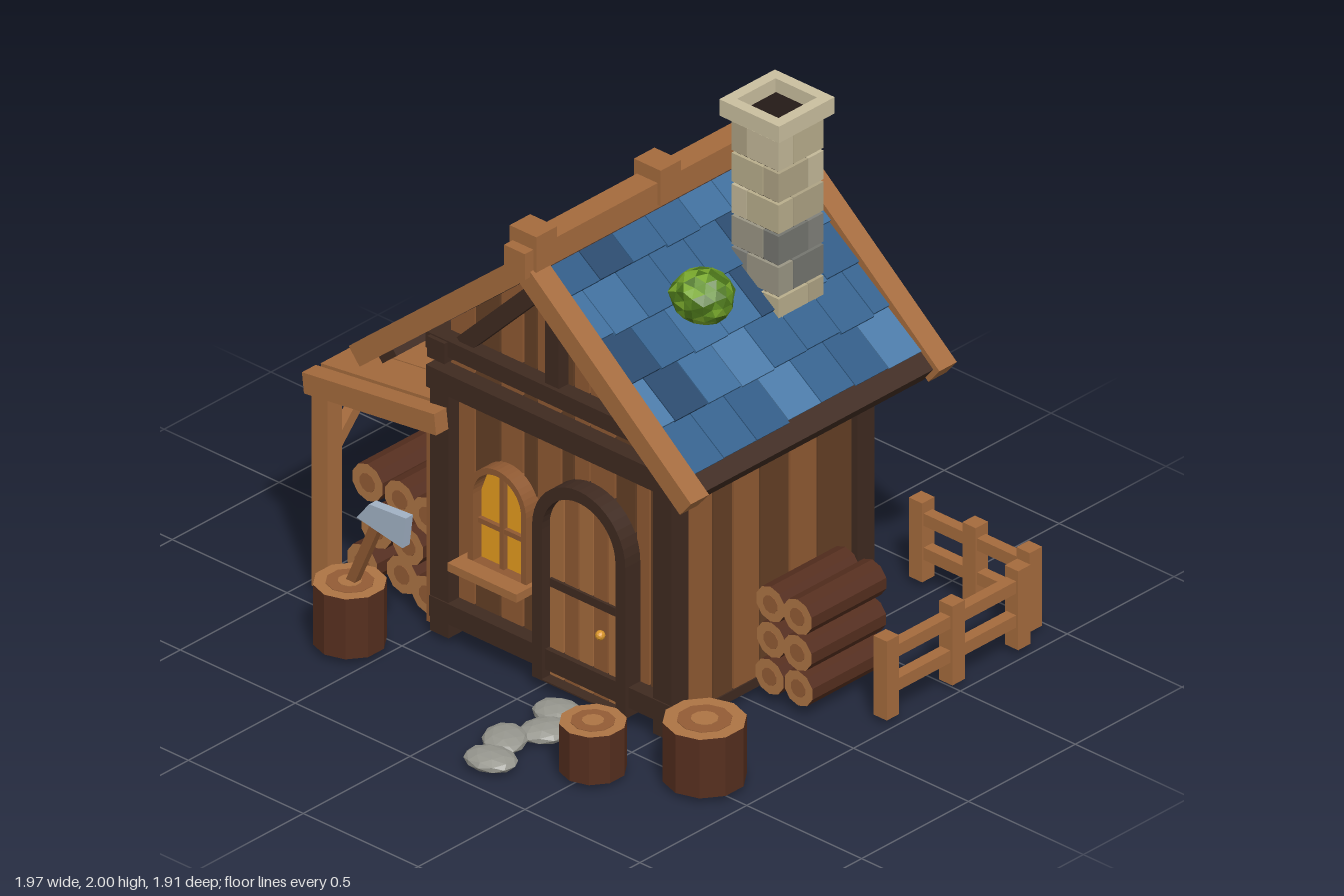
import * as THREE from 'three';

const mat = (color) => new THREE.MeshStandardMaterial({ color, flatShading: true, roughness: 0.9 });
const DARK = mat(0x3f2a20), MID = mat(0x8f5932), DEEP = mat(0x633f25), LIGHT = mat(0xa56b3d);
const BARK = mat(0x552e1e), CUT = mat(0xad7444), RING = mat(0x935c35), BLACK = mat(0x241b17);
const GLASS = mat(0xe59c1e), STEEL = mat(0xa3b3c6), BRASS = mat(0xd9952a);
const BLUES = [0x2f5a85, 0x3d6d9b, 0x27486c, 0x4a7aa8, 0x33618d].map(mat);
const STONES = [0xb9ae8c, 0xaea384, 0xc4b999].map(mat), GREYS = [0x80807a, 0x9a9684, 0x74756f].map(mat);
const CAPSTONE = mat(0xcabf9f), STEP = mat(0x96968e);
const GREENS = [0x5f8f22, 0x79a82c, 0x4a7419].map(mat);

// Ridge line, roof angle and the underside of the roof
const RX = 0.045, RY = 1.657, ANGLE = Math.atan(0.83);
const gableTop = (x) => 1.555 - Math.abs(x - RX) * 0.83;

let seed = 7;
const rnd = () => (seed = (seed * 16807) % 2147483647) / 2147483647;

function add(parent, name, geo, material, x = 0, y = 0, z = 0) {
  const m = new THREE.Mesh(geo, material);
  m.name = name;
  m.position.set(x, y, z);
  parent.add(m);
  return m;
}
function group(parent, name) {
  const g = new THREE.Group();
  g.name = name;
  parent.add(g);
  return g;
}
// Box given by its limits
const box = (p, name, m, x0, x1, y0, y1, z0, z1) =>
  add(p, name, new THREE.BoxGeometry(x1 - x0, y1 - y0, z1 - z0), m, (x0 + x1) / 2, (y0 + y1) / 2, (z0 + z1) / 2);
// Slanted timber between two points in the xy plane
function beam(p, name, m, x1, y1, x2, y2, w, z, d) {
  const b = add(p, name, new THREE.BoxGeometry(Math.hypot(x2 - x1, y2 - y1), w, d), m, (x1 + x2) / 2, (y1 + y2) / 2, z);
  b.rotation.z = Math.atan2(y2 - y1, x2 - x1);
  return b;
}
function extrude(p, name, m, shape, z0, z1) {
  return add(p, name, new THREE.ExtrudeGeometry(shape, { depth: z1 - z0, bevelEnabled: false, curveSegments: 10 }), m, 0, 0, z0);
}
// Upright board whose top follows a curve
function board(p, name, m, x0, x1, y0, top, z0, z1) {
  const pts = [new THREE.Vector2(x0, y0), new THREE.Vector2(x1, y0)];
  for (let i = 8; i >= 0; i--) {
    const x = x0 + ((x1 - x0) * i) / 8;
    pts.push(new THREE.Vector2(x, top(x)));
  }
  return extrude(p, name, m, new THREE.Shape(pts), z0, z1);
}
const arc = (cx, r, y) => (x) => y + Math.sqrt(Math.max(0, r * r - (x - cx) ** 2));
function archPath(path, cx, r, y0, spring) {
  path.moveTo(cx - r, y0);
  path.lineTo(cx + r, y0);
  path.lineTo(cx + r, spring);
  path.absarc(cx, spring, r, 0, Math.PI, false);
  path.lineTo(cx - r, y0);
  return path;
}
function archFrame(p, name, m, cx, rOut, rIn, y0, spring, z0, z1) {
  const s = archPath(new THREE.Shape(), cx, rOut, y0, spring);
  s.holes.push(archPath(new THREE.Path(), cx, rIn, y0 + 0.005, spring));
  return extrude(p, name, m, s, z0, z1);
}

function buildHouse(root) {
  const house = group(root, 'house');
  board(house, 'core', BLACK, -0.44, RX, 0.04, gableTop, -0.47, 0.3);
  board(house, 'core', BLACK, RX, 0.53, 0.04, gableTop, -0.47, 0.3);
  const edges = [-0.44, -0.33, -0.22, -0.12, -0.06, RX, 0.1, 0.17, 0.28, 0.37, 0.43, 0.53];
  const tones = [MID, DEEP, MID, DEEP, MID, DEEP, MID, MID, DEEP, MID, DEEP];
  // Front and back: boards, posts, beams and gable timbers
  for (const [z, s] of [[0.35, 1], [-0.52, -1]]) {
    const zb = z - s * 0.03;
    tones.forEach((t, i) =>
      board(house, 'wallBoard', t, edges[i] + 0.004, edges[i + 1] - 0.004, 0.06, gableTop, zb - 0.02, zb + 0.02));
    for (const x of [-0.44, 0.53]) box(house, 'cornerPost', DARK, x - 0.04, x + 0.04, 0.02, 0.95, z - 0.04, z + 0.04);
    box(house, 'wallBeam', DARK, -0.485, 0.575, 0.92, 1.0, z - 0.05, z + 0.055);
    box(house, 'gableBeam', DARK, -0.49, 0.58, 1.06, 1.12, z - 0.045, z + 0.05);
    if (s > 0) box(house, 'frontSill', DARK, -0.48, 0.57, 0.075, 0.15, z - 0.04, z + 0.045);
    else box(house, 'backSill', DARK, -0.47, 0.56, 0.035, 0.09, z - 0.035, z + 0.03);
    box(house, 'kingPost', DARK, RX - 0.03, RX + 0.03, 1.11, 1.54, z - 0.03, z + 0.035);
    for (const k of [-1, 1]) beam(house, 'gableBrace', DARK, RX, 1.51, RX + k * 0.4, 1.11, 0.06, z, 0.055);
  }
  // Side walls
  const zs = [-0.49, -0.32, -0.19, -0.05, 0.075, 0.17, 0.32];
  for (const s of [-1, 1]) {
    const x = RX + s * 0.48;
    for (let i = 0; i < 6; i++)
      box(house, 'sideBoard', (i + (s > 0 ? 1 : 0)) % 2 ? DEEP : MID, x - 0.02, x + 0.02, 0.06, 1.08, zs[i] + 0.004, zs[i + 1] - 0.004);
    box(house, 'sideBeam', DARK, x - 0.03, x + 0.045, 0.925, 0.995, -0.55, 0.38);
    box(house, 'eavePlate', DARK, x - 0.035, x + 0.04, 1.04, 1.115, -0.585, 0.415);
    box(house, 'sideSill', DARK, x - 0.03, x + 0.025, 0.035, 0.07, -0.5, 0.33);
  }

  // Door
  const door = group(root, 'door');
  for (let i = 0; i < 5; i++) {
    const x = 0.025 + i * 0.064;
    board(door, 'doorPlank', i % 2 ? MID : LIGHT, x + 0.003, x + 0.061, 0.05, arc(0.185, 0.16, 0.595), 0.34, 0.375);
  }
  archFrame(door, 'doorFrame', DARK, 0.185, 0.203, 0.16, 0.04, 0.595, 0.33, 0.41);
  box(door, 'doorStrap', DARK, 0.035, 0.32, 0.38, 0.41, 0.37, 0.385);
  add(door, 'doorKnob', new THREE.IcosahedronGeometry(0.017, 1), BRASS, 0.26, 0.29, 0.39);

  // Window
  const win = group(root, 'window');
  board(win, 'windowPane', GLASS, -0.285, -0.075, 0.35, arc(-0.18, 0.105, 0.6), 0.34, 0.36);
  archFrame(win, 'windowFrame', MID, -0.18, 0.127, 0.105, 0.35, 0.6, 0.335, 0.4);
  box(win, 'windowBar', MID, -0.189, -0.171, 0.35, 0.7, 0.355, 0.378);
  box(win, 'windowBar', MID, -0.285, -0.075, 0.487, 0.505, 0.355, 0.376);
  box(win, 'windowSill', LIGHT, -0.335, -0.035, 0.325, 0.355, 0.335, 0.465);
}

function buildRoof(root) {
  const roof = group(root, 'roof');
  for (const s of [-1, 1]) {
    const side = group(roof, 'roofSide');
    side.position.set(RX, RY, 0);
    side.rotation.z = -s * ANGLE;
    // u runs down the slope, n out of it
    const slab = (name, m, u0, u1, n0, n1, z0, z1) =>
      box(side, name, m, Math.min(s * u0, s * u1), Math.max(s * u0, s * u1), n0, n1, z0, z1);
    slab('roofDeck', DARK, 0, 0.88, -0.073, -0.045, -0.64, 0.46);
    slab('eaveTrim', DARK, 0.87, 0.95, -0.1, -0.02, -0.64, 0.46);
    slab('bargeBoard', LIGHT, 0, 0.968, -0.075, 0, 0.45, 0.535);
    slab('bargeBoard', LIGHT, 0, 0.968, -0.075, 0, -0.71, -0.628);
    // Overlapping tiles in five staggered courses
    for (let c = 0; c < 5; c++) {
      for (let k = 0; k < 8; k++) {
        const z0 = Math.max(-0.63, -0.63 + (k - (c % 2) / 2) * 0.155), z1 = Math.min(0.452, -0.63 + (k + 1 - (c % 2) / 2) * 0.155);
        if (z1 - z0 < 0.02) continue;
        const len = 0.185 + rnd() * 0.012;
        const t = slab('tile', BLUES[Math.floor(rnd() * 5)], c * 0.172, c * 0.172 + len, -0.048, -0.022, z0 + 0.002, z1 - 0.002);
        t.rotation.z = s * 0.07;
      }
    }
  }
  box(roof, 'ridgeBeam', LIGHT, 0, 0.09, 1.6, 1.695, -0.75, 0.56);
  for (const z of [-0.63, -0.11, 0.472]) box(roof, 'ridgeBlock', LIGHT, -0.013, 0.103, 1.615, 1.745, z - 0.048, z + 0.048);

  // Chimney: courses of four stones with shifting joints
  const chimney = group(root, 'chimney');
  const [x0, x1, z0, z1] = [0.26, 0.465, -0.435, -0.225];
  box(chimney, 'flue', BLACK, x0 + 0.012, x1 - 0.012, 1.235, 1.95, z0 + 0.012, z1 - 0.012);
  for (let c = 0; c < 6; c++) {
    const y = 1.24 + c * 0.115, set = c === 1 || c === 2 ? GREYS : STONES;
    const sx = x0 + (c % 2 ? 0.065 : 0.135), sz = z0 + (c % 2 ? 0.14 : 0.07);
    [[x0, sx], [sx, x1]].forEach(([a, b], i) => [[z0, sz], [sz, z1]].forEach(([d, e], j) =>
      box(chimney, 'stone', set[(c + i + 2 * j) % 3], a + 0.003 * i, b, y, y + 0.105, d + 0.003 * j, e)));
  }
  for (const x of [0.23, 0.45]) box(chimney, 'capStone', CAPSTONE, x, x + 0.04, 1.94, 2, -0.46, -0.2);
  for (const z of [-0.46, -0.24]) box(chimney, 'capStone', CAPSTONE, 0.27, 0.45, 1.94, 2, z, z + 0.04);

  // Leafy clump in three greens
  const leaf = new THREE.IcosahedronGeometry(1, 2), p = leaf.attributes.position, v = new THREE.Vector3();
  for (let i = 0; i < p.count; i++) {
    v.fromBufferAttribute(p, i);
    v.multiplyScalar(0.95 + 0.12 * Math.sin(v.x * 9 + v.y * 7) * Math.cos(v.z * 8 + v.y * 5));
    p.setXYZ(i, v.x * 0.113, v.y * 0.095, v.z * 0.108);
  }
  for (let i = 0; i < p.count; i += 3) leaf.addGroup(i, 3, Math.floor(rnd() * 3));
  leaf.computeVertexNormals();
  add(root, 'bush', leaf, GREENS, 0.392, 1.447, 0.05);
}

function buildYard(root) {
  // Lean-to on the right-hand side of the front
  const lean = group(root, 'leanTo');
  for (let i = 0; i < 5; i++) beam(lean, 'leanToBoard', LIGHT, -0.98, 0.775, -0.45, 0.839, 0.035, -0.333 + i * 0.155, 0.15);
  beam(lean, 'leanToFrontBeam', LIGHT, -0.98, 0.757, -0.405, 0.827, 0.075, 0.415, 0.065);
  box(lean, 'leanToEdgeBeam', LIGHT, -0.95, -0.885, 0.69, 0.765, -0.4, 0.4);
  for (const z of [-0.415, 0.405]) {
    box(lean, 'leanToPost', LIGHT, -0.95, -0.882, 0.02, 0.755, z - 0.034, z + 0.034);
    box(lean, 'wallPost', MID, -0.53, -0.482, 0.02, 0.8, z * 0.8 - 0.03, z * 0.8 + 0.03);
    const brace = box(lean, 'brace', LIGHT, -0.935, -0.897, 0.46, 0.74, z * 0.75 - 0.02, z * 0.75 + 0.02);
    brace.rotation.x = -Math.sign(z) * 0.75;
  }

  // Stacked firewood
  const log = (p, x, y, z, len, r) => {
    add(p, 'log', new THREE.CylinderGeometry(r, r, len, 10), [BARK, CUT, CUT], x, y, z).rotation.x = Math.PI / 2;
    add(p, 'logCore', new THREE.CylinderGeometry(r * 0.5, r * 0.5, len + 0.004, 10), RING, x, y, z).rotation.x = Math.PI / 2;
  };
  const left = group(root, 'shelteredWoodpile'), right = group(root, 'openWoodpile');
  for (const [x, y] of [[-0.83, 0.105], [-0.685, 0.105], [-0.54, 0.105], [-0.77, 0.25], [-0.625, 0.25], [-0.83, 0.39], [-0.68, 0.39], [-0.545, 0.39]])
    log(left, x, y, rnd() * 0.05 - 0.03, 0.66, 0.068);
  for (let r = 0; r < 3; r++) for (const x of [0.61, 0.728]) log(right, x, 0.1 + r * 0.132, -0.22 + rnd() * 0.02, 0.35, 0.064);

  // Chopping stumps
  for (const [x, z, r, h] of [[-0.62, 0.615, 0.12, 0.22], [0.503, 0.685, 0.11, 0.175], [0.803, 0.485, 0.137, 0.215]]) {
    const s = group(root, 'stump');
    s.position.set(x, 0.02, z);
    add(s, 'trunk', new THREE.CylinderGeometry(r, r, h, 10), [BARK, CUT, CUT], 0, h / 2, 0);
    add(s, 'ring', new THREE.CylinderGeometry(r * 0.66, r * 0.66, 0.004, 10), RING, 0, h, 0);
    add(s, 'heart', new THREE.CylinderGeometry(r * 0.33, r * 0.33, 0.008, 10), CUT, 0, h, 0);
  }

  // Axe
  const axe = group(root, 'axe');
  beam(axe, 'axeHandle', MID, -0.625, 0.22, -0.49, 0.53, 0.035, 0.605, 0.028);
  const blade = [[-0.585, 0.49], [-0.385, 0.455], [-0.37, 0.57], [-0.53, 0.56]].map(([x, y]) => new THREE.Vector2(x, y));
  extrude(axe, 'axeHead', STEEL, new THREE.Shape(blade), 0.588, 0.622);

  // Stepping stones
  [[0.19, 0.51], [0.24, 0.62], [0.18, 0.75], [0.235, 0.875]].forEach(([x, z], i) => {
    const s = add(root, 'steppingStone', new THREE.IcosahedronGeometry(1, 1), STEP, x, 0.03, z);
    s.scale.set(0.093, 0.03, 0.075);
    s.rotation.y = i * 1.1;
  });

  // Corner fence
  const fence = group(root, 'fence');
  const post = (x, z) => box(fence, 'fencePost', LIGHT, x - 0.029, x + 0.029, 0.02, 0.31, z - 0.029, z + 0.029);
  for (const x of [0.432, 0.665, 0.9]) post(x, -0.93);
  for (const z of [-0.205, -0.512, -0.82]) post(0.952, z);
  for (const y of [0.1, 0.225]) {
    box(fence, 'fenceRail', LIGHT, 0.42, 0.91, y, y + 0.045, -0.948, -0.908);
    box(fence, 'fenceRail', LIGHT, 0.93, 0.972, y, y + 0.045, -0.83, -0.2);
  }
}

export function createModel() {
  const root = new THREE.Group();
  root.name = 'cabin';
  buildHouse(root);
  buildRoof(root);
  buildYard(root);
  return root;
}
